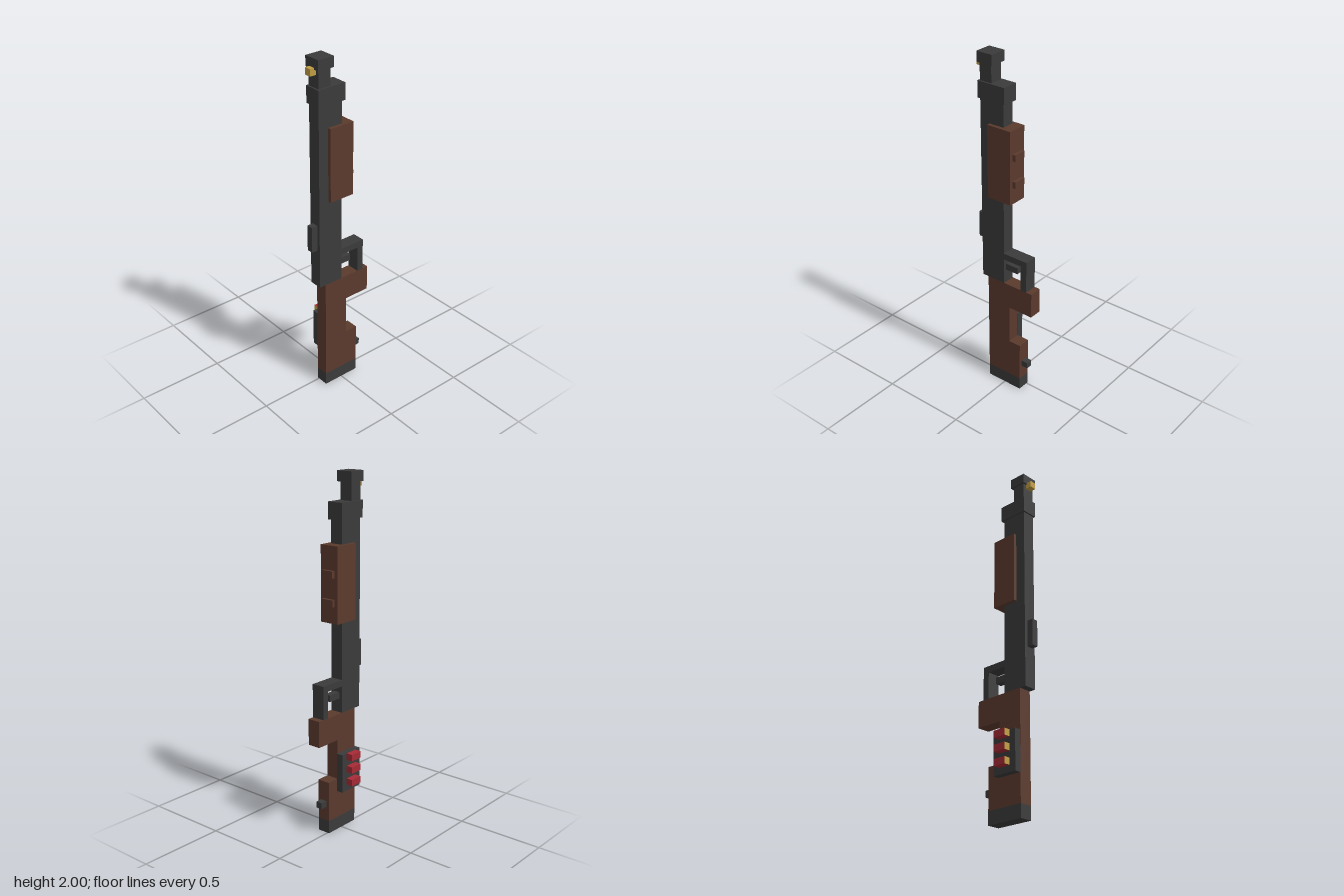
import * as THREE from 'three';

function material(name, color) {
  const m = new THREE.MeshStandardMaterial({ color });
  m.name = name;
  return m;
}

export function createModel() {
  const metal = material('darkMetal', 0x3b3b3b);
  const wood = material('brownWood', 0x5b3a2d);
  const brass = material('brass', 0xc09d43);
  const red = material('redShell', 0xa52a35);

  const model = new THREE.Group();
  model.name = 'longGun';

  // Box given by its [min, max] span on each axis
  function box(name, mat, [x0, x1], [y0, y1], [z0, z1]) {
    const mesh = new THREE.Mesh(new THREE.BoxGeometry(x1 - x0, y1 - y0, z1 - z0), mat);
    mesh.position.set((x0 + x1) / 2, (y0 + y1) / 2, (z0 + z1) / 2);
    mesh.name = name;
    model.add(mesh);
    return mesh;
  }

  const body = [-0.0105, 0.065]; // shared width of barrel and stock
  const thin = [0.0085, 0.0465]; // width of small fittings

  // Stock: one stepped side outline, extruded across the width
  const outline = [
    [0.115, 0.075], [-0.11, 0.075], [-0.11, 0.308], [-0.034, 0.308],
    [-0.034, 0.54], [-0.188, 0.54], [-0.188, 0.69], [0.115, 0.69],
  ];
  const shape = new THREE.Shape(outline.map(([z, y]) => new THREE.Vector2(-z, y)));
  const stockGeometry = new THREE.ExtrudeGeometry(shape, { depth: body[1] - body[0], bevelEnabled: false });
  stockGeometry.rotateY(Math.PI / 2);
  stockGeometry.translate(body[0], 0, 0);
  const stock = new THREE.Mesh(stockGeometry, wood);
  stock.name = 'stock';
  model.add(stock);
  box('buttPlate', metal, body, [0, 0.075], [-0.11, 0.115]);
  box('slingStud', metal, thin, [0.157, 0.193], [-0.15, -0.11]);

  // Receiver, barrel and muzzle
  box('barrelAndMagazine', metal, body, [0.69, 1.755], [0.003, 0.154]);
  box('barrelCollar', metal, [-0.02, 0.075], [1.752, 1.845], [-0.01, 0.163]);
  box('upperBarrel', metal, body, [1.845, 1.945], [0.079, 0.154]);
  box('muzzle', metal, [-0.022, 0.077], [1.943, 2], [0.065, 0.164]);
  box('frontSight', brass, thin, [1.915, 1.953], [0.154, 0.191]);
  box('rearSight', metal, thin, [0.92, 1.072], [0.154, 0.191]);

  // Sliding fore-end with grip ribs
  box('foreEnd', wood, [-0.03, 0.085], [1.206, 1.625], [-0.057, 0.094]);
  for (const y of [1.32, 1.475]) box('foreEndRib', wood, body, [y - 0.019, y + 0.019], [-0.076, -0.057]);

  // Trigger and guard
  box('guardTop', metal, body, [0.843, 0.88], [-0.152, 0.003]);
  box('guardFront', metal, body, [0.69, 0.843], [-0.152, -0.114]);
  box('trigger', metal, thin, [0.769, 0.807], [-0.076, 0.003]);

  // Shell holder; shells are red with a brass front face
  box('shellHolder', metal, [-0.048, -0.0105], [0.234, 0.46], [-0.038, 0.114]);
  const shellFaces = [red, red, red, red, brass, red];
  for (const y of [0.29, 0.366, 0.441]) {
    box('shell', shellFaces, [-0.087, -0.048], [y - 0.019, y + 0.019], [0, 0.075]);
  }

  return model;
}
